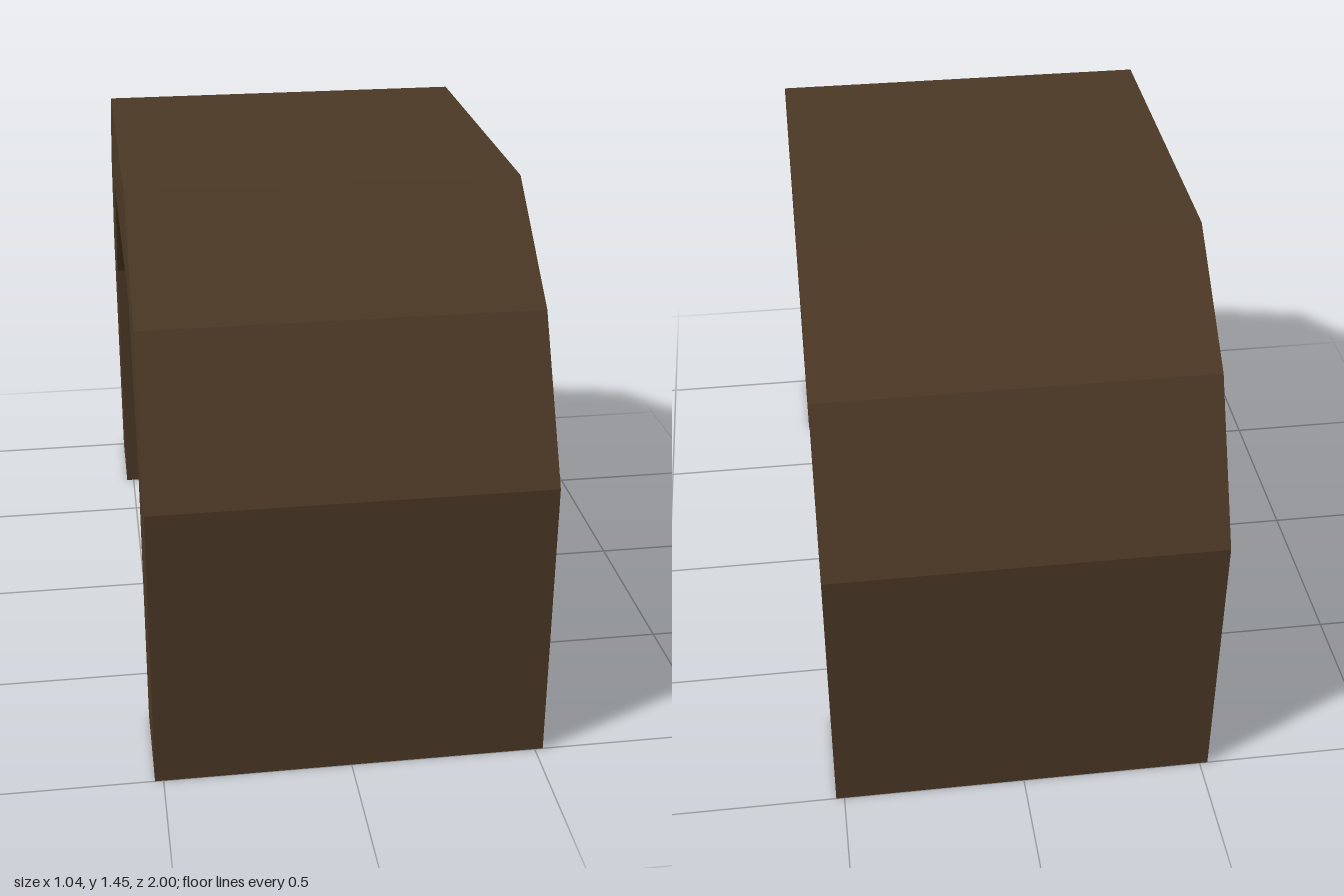
import * as THREE from 'three';

export function createModel() {
  const group = new THREE.Group();
  const brown = new THREE.MeshStandardMaterial({ color: 0x4c3825 });
  brown.name = 'dark brown';

  // Half of the arch section as [z, y], from outer foot to crown, then inner crown to foot
  const outer = [[1, 0], [1, 0.79], [0.785, 1.19], [0.465, 1.445]];
  const inner = [[0.485, 1.155], [0.57, 0.99], [0.71, 0.79], [0.71, 0]];
  const mirror = (points) => points.map(([z, y]) => [-z, y]).reverse();
  const outline = [...outer, ...mirror(outer), ...mirror(inner), ...inner];

  // Sweep the section across the width
  const width = 1.045;
  const shape = new THREE.Shape(outline.map(([z, y]) => new THREE.Vector2(z, y)));
  const geometry = new THREE.ExtrudeGeometry(shape, { depth: width, bevelEnabled: false });
  geometry.translate(0, 0, -width / 2);
  geometry.rotateY(-Math.PI / 2);

  const arch = new THREE.Mesh(geometry, brown);
  arch.name = 'arch';
  group.add(arch);
  return group;
}
